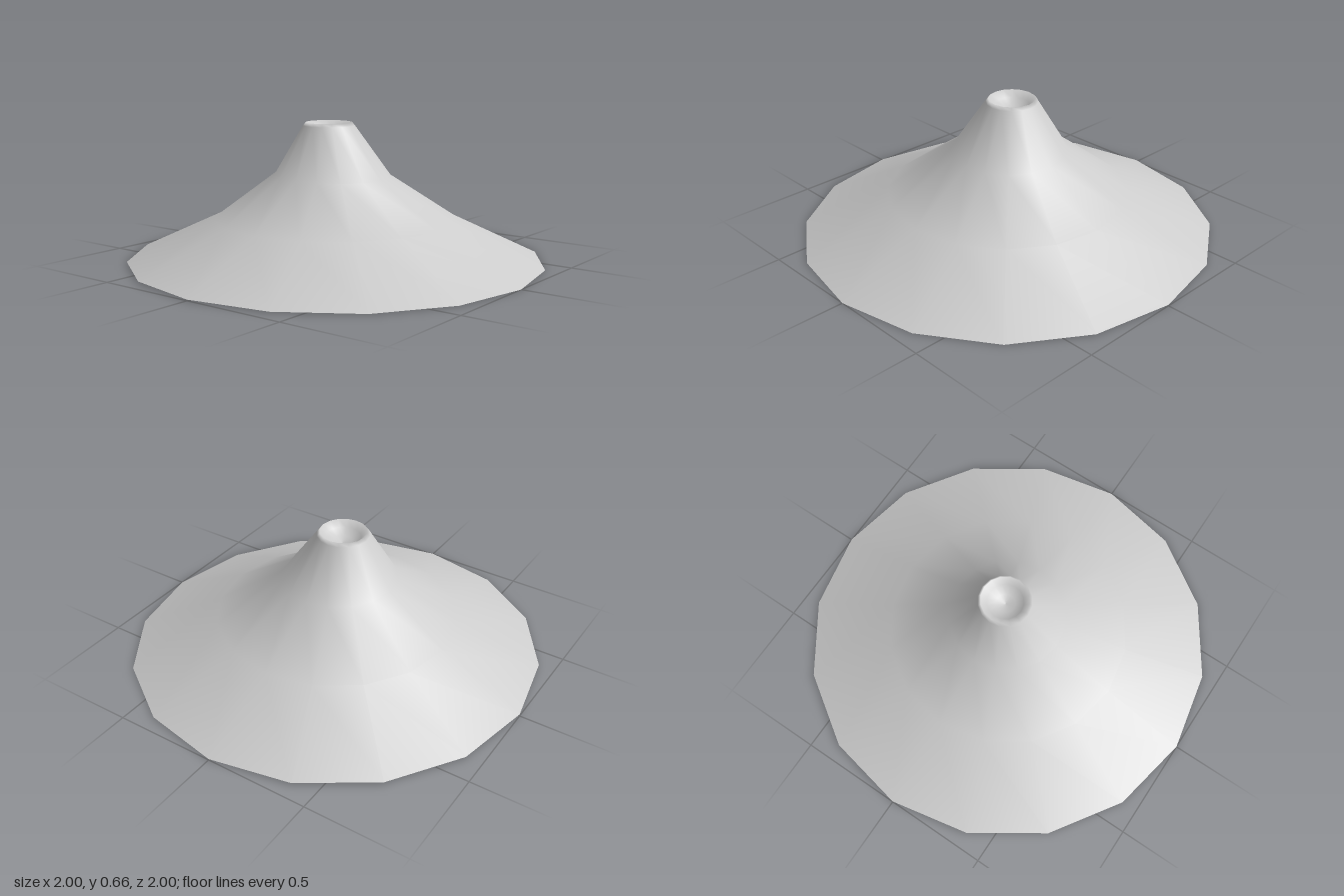
import * as THREE from 'three';

// Sixteen-sided hollow mound with a small dished crater
export function createModel() {
  const group = new THREE.Group();
  const material = new THREE.MeshStandardMaterial({ color: 0xcccccc, side: THREE.DoubleSide });

  // Radius and height from the foot up to the rim, then down into the crater
  const profile = [
    [1, 0.005], [0.585, 0.2], [0.28, 0.41], [0.125, 0.645],
    [0.112, 0.66], [0.085, 0.63], [0.045, 0.605], [0, 0.595],
  ].map(([r, y]) => new THREE.Vector2(r, y));
  const geometry = new THREE.LatheGeometry(profile, 16);

  // Lean the upper part slightly back and tilt the foot and neck
  const p = geometry.attributes.position;
  for (let i = 0; i < p.count; i++) {
    const x = p.getX(i), y = p.getY(i), z = p.getZ(i);
    const lean = Math.min(1, y / 0.645);
    const tilt = y < 0.1 ? 0.005 : y > 0.3 && y < 0.5 ? 0.03 : 0;
    p.setXYZ(i, x - 0.008 * lean, y - z * tilt, z - 0.037 * lean * lean);
  }

  const mound = new THREE.Mesh(geometry, material);
  mound.name = 'craterMound';
  group.add(mound);
  return group;
}
